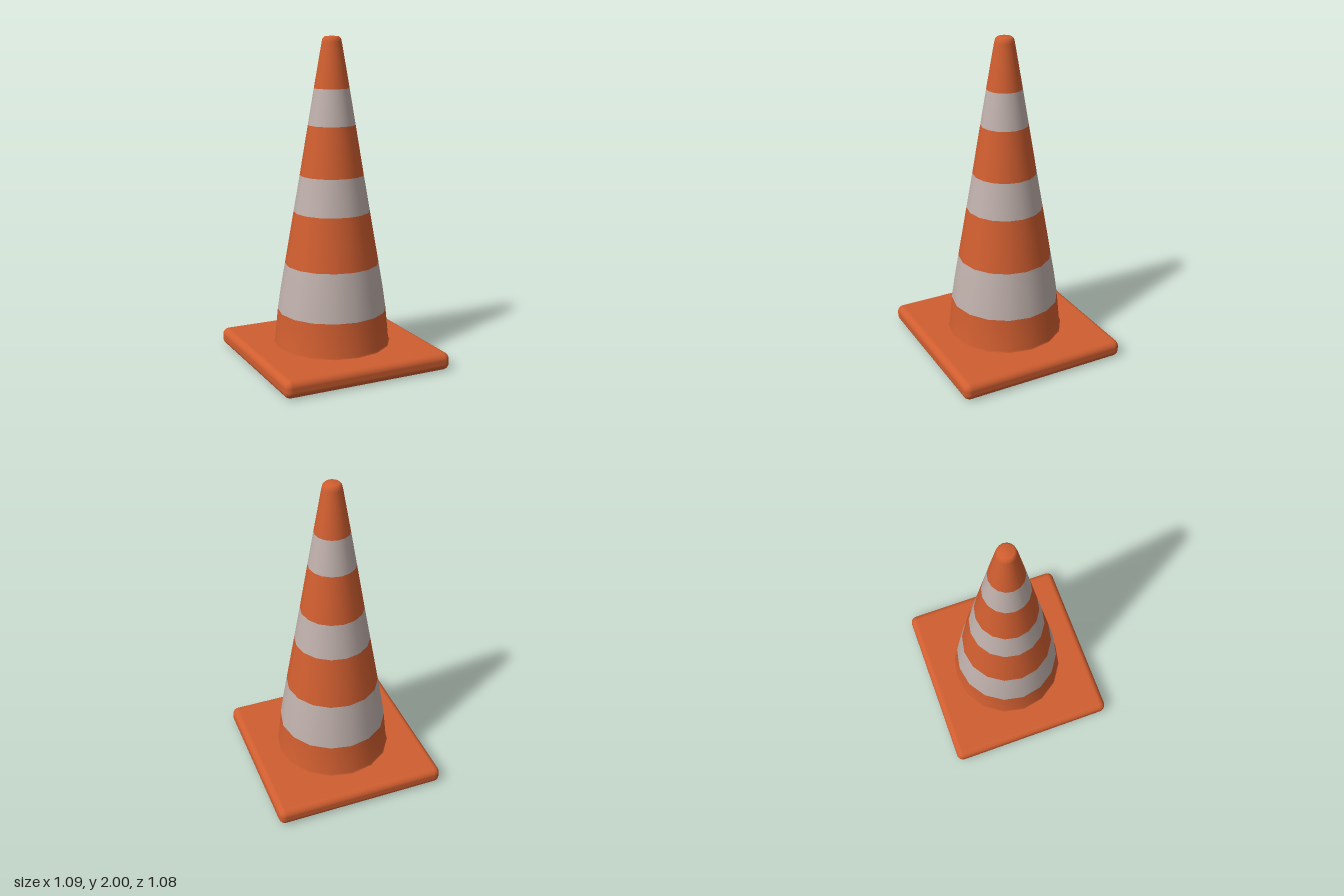
import * as THREE from 'three';
import { RoundedBoxGeometry } from 'three/addons/geometries/RoundedBoxGeometry.js';

const SIDES = 16;

export function createModel() {
  const orange = new THREE.MeshStandardMaterial({ color: 0xd05e30 });
  orange.name = 'orange rubber';
  const grey = new THREE.MeshStandardMaterial({ color: 0xc0b1ac });
  grey.name = 'pale grey reflective';

  const model = new THREE.Group();
  model.name = 'trafficCone';

  // Square foot with softened edges and corners
  const base = new THREE.Mesh(new RoundedBoxGeometry(1.09, 0.108, 1.08, 4, 0.042), orange);
  base.name = 'base';
  base.position.y = 0.054;
  model.add(base);

  // Cone body: stacked bands of [radius, height] profiles
  const bands = [
    ['coneFoot', orange, [[0.375, 0.1], [0.358, 0.115], [0.338, 0.32]]],
    ['lowerStripe', grey, [[0.338, 0.32], [0.318, 0.46], [0.291, 0.615]]],
    ['lowerBand', orange, [[0.291, 0.615], [0.235, 0.94]]],
    ['middleStripe', grey, [[0.235, 0.94], [0.196, 1.165]]],
    ['upperBand', orange, [[0.196, 1.165], [0.145, 1.47]]],
    ['upperStripe', grey, [[0.145, 1.47], [0.108, 1.69]]],
    ['tip', orange, [[0.108, 1.69], [0.06, 1.965], [0.055, 1.985], [0.043, 1.997], [0, 2]]],
  ];
  for (const [name, material, profile] of bands) {
    const points = profile.map(([r, y]) => new THREE.Vector2(r, y));
    const band = new THREE.Mesh(new THREE.LatheGeometry(points, SIDES), material);
    band.name = name;
    model.add(band);
  }

  return model;
}
